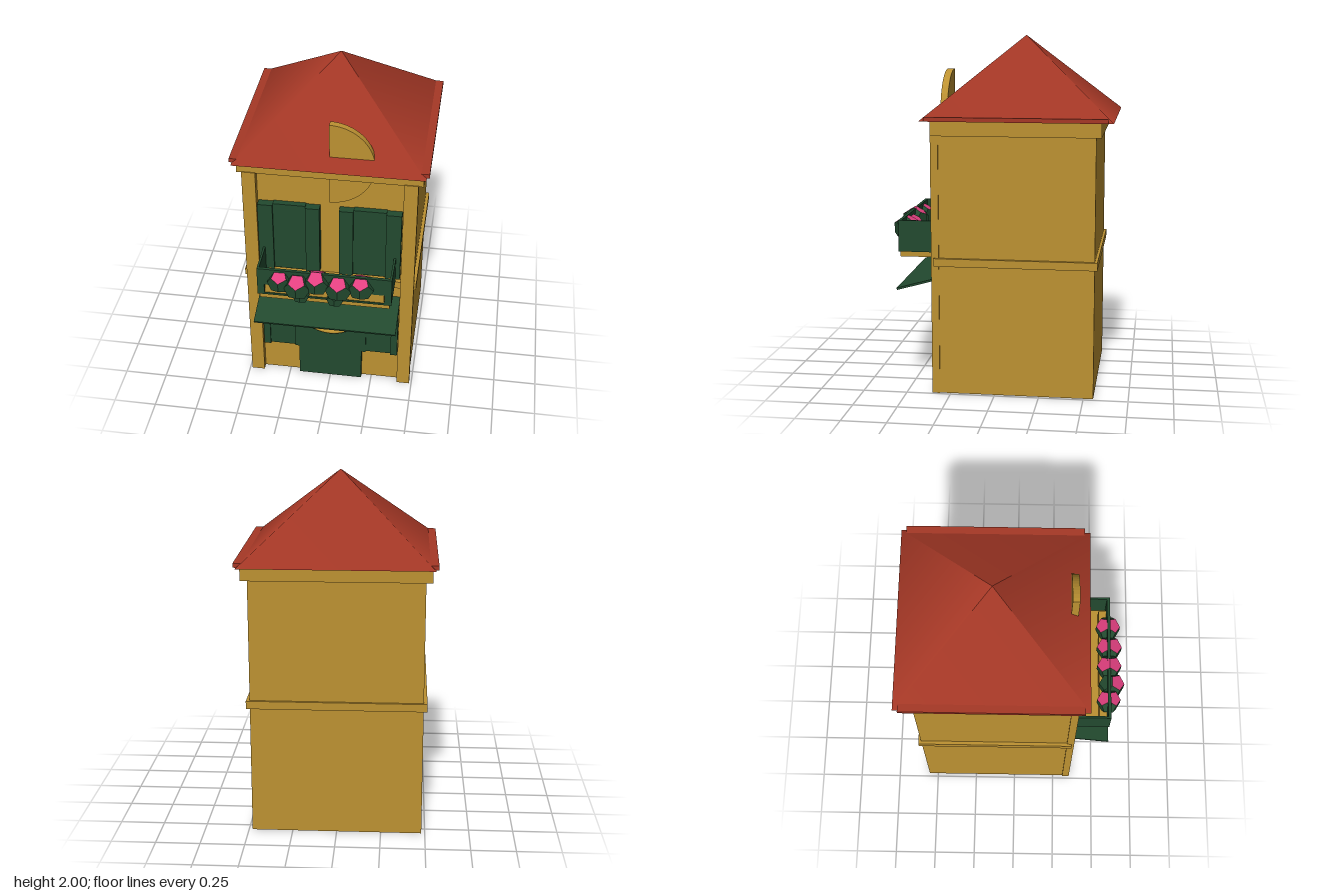
import * as THREE from 'three';

const mat = (name, color) => {
  const m = new THREE.MeshStandardMaterial({ color });
  m.name = name;
  return m;
};

export function createModel() {
  const ochre = mat('ochre plaster', 0xbd9232);
  const green = mat('dark green paint', 0x224a2f);
  const red = mat('red roof tile', 0xa63826);
  const pink = mat('pink petal', 0xe0407f);
  const model = new THREE.Group();
  model.name = 'townhouse';

  const add = (name, geo, material, x = 0, y = 0, z = 0) => {
    const m = new THREE.Mesh(geo, material);
    m.name = name;
    m.position.set(x, y, z);
    model.add(m);
    return m;
  };
  // box given by its limits on each axis
  const block = (name, material, x0, x1, y0, y1, z0, z1) =>
    add(name, new THREE.BoxGeometry(x1 - x0, y1 - y0, z1 - z0), material,
      (x0 + x1) / 2, (y0 + y1) / 2, (z0 + z1) / 2);
  // the same box on both sides of the house
  const pair = (name, material, x0, x1, ...rest) => {
    block(name + 'Left', material, x0, x1, ...rest);
    block(name + 'Right', material, -x1, -x0, ...rest);
  };

  // walls, corner pilasters and mouldings
  block('lowerStorey', ochre, -0.48, 0.48, 0, 0.755, -0.555, 0.315);
  block('upperStorey', ochre, -0.48, 0.48, 0.755, 1.5, -0.555, 0.315);
  pair('pilaster', ochre, 0.41, 0.487, 0, 1.47, 0.312, 0.355);
  block('stringCourse', ochre, -0.5, 0.5, 0.735, 0.78, -0.57, 0.34);
  block('cornice', ochre, -0.515, 0.515, 1.465, 1.545, -0.585, 0.35);

  // hipped roof on a thin eave slab
  block('eaveSlab', red, -0.545, 0.545, 1.546, 1.57, -0.62, 0.38);
  const roof = new THREE.ConeGeometry(0.53 * Math.SQRT2, 0.455, 4);
  roof.rotateY(Math.PI / 4);
  add('roof', roof, red, 0, 1.7725, -0.12);

  // half-round gable ornament
  const half = new THREE.Shape();
  half.absarc(0, 0, 0.25, -Math.PI / 2, Math.PI / 2, false);
  half.closePath();
  add('gableOrnament', new THREE.ExtrudeGeometry(half,
    { depth: 0.04, bevelEnabled: false, curveSegments: 16 }), ochre, 0, 1.555, 0.3);

  // door with its curved trim
  block('door', green, -0.19, 0.19, 0, 0.55, 0.31, 0.345);
  const trim = new THREE.TorusGeometry(0.192, 0.013, 8, 24, Math.PI);
  trim.rotateZ(Math.PI);
  add('doorTrim', trim, ochre, 0, 0.55, 0.347);

  // windows and shutters
  pair('lowerWindow', green, 0.215, 0.365, 0.215, 0.55, 0.31, 0.335);
  pair('lowerOuterShutter', green, 0.365, 0.405, 0.212, 0.55, 0.31, 0.345);
  pair('lowerInnerShutter', green, 0.19, 0.215, 0.212, 0.55, 0.31, 0.342);
  pair('upperWindow', green, 0.135, 0.32, 0.82, 1.27, 0.31, 0.35);
  pair('upperInnerShutter', green, 0.055, 0.135, 0.82, 1.265, 0.31, 0.363);
  pair('upperOuterShutter', green, 0.32, 0.405, 0.82, 1.265, 0.31, 0.363);

  // sloping awning
  const awning = add('awning', new THREE.BoxGeometry(0.82, 0.012, 0.262), green, 0, 0.613, 0.445);
  awning.rotation.x = Math.atan2(0.07, 0.25);

  // balcony with planter
  block('balconyFloor', ochre, -0.37, 0.37, 0.76, 0.79, 0.312, 0.555);
  pair('balconySide', green, 0.368, 0.38, 0.79, 0.97, 0.312, 0.563);
  block('balconyFront', green, -0.38, 0.38, 0.86, 0.97, 0.545, 0.563);
  block('balconyLowerRail', green, -0.38, 0.38, 0.79, 0.802, 0.545, 0.563);
  pair('balconyPost', green, 0.34, 0.38, 0.79, 0.87, 0.545, 0.563);
  block('planter', ochre, -0.337, 0.337, 0.79, 0.86, 0.5, 0.558);

  // faceted plants: upward faces carry the blossom colour
  const plant = (name, x, y, z, r, blossom) => {
    const geo = new THREE.DodecahedronGeometry(r);
    const n = geo.attributes.normal;
    for (let i = 0; i < n.count; i += 3) {
      const top = n.getY(i) > 0.8 && (blossom === 'both' || (blossom === 'front' && n.getZ(i) > 0));
      geo.addGroup(i, 3, top ? 1 : 0);
    }
    add(name, geo, [green, pink], x, y, z);
  };
  plant('flower1', -0.25, 0.892, 0.553, 0.074, 'both');
  plant('flower2', -0.147, 0.878, 0.572, 0.08, 'front');
  plant('flower3', -0.043, 0.905, 0.557, 0.077, 'both');
  plant('flower4', 0.083, 0.882, 0.56, 0.08, 'both');
  plant('flower5', 0.208, 0.897, 0.552, 0.077, 'both');
  plant('leaves1', -0.13, 0.815, 0.57, 0.05, 'none');
  plant('leaves2', 0.065, 0.812, 0.57, 0.05, 'none');

  return model;
}
